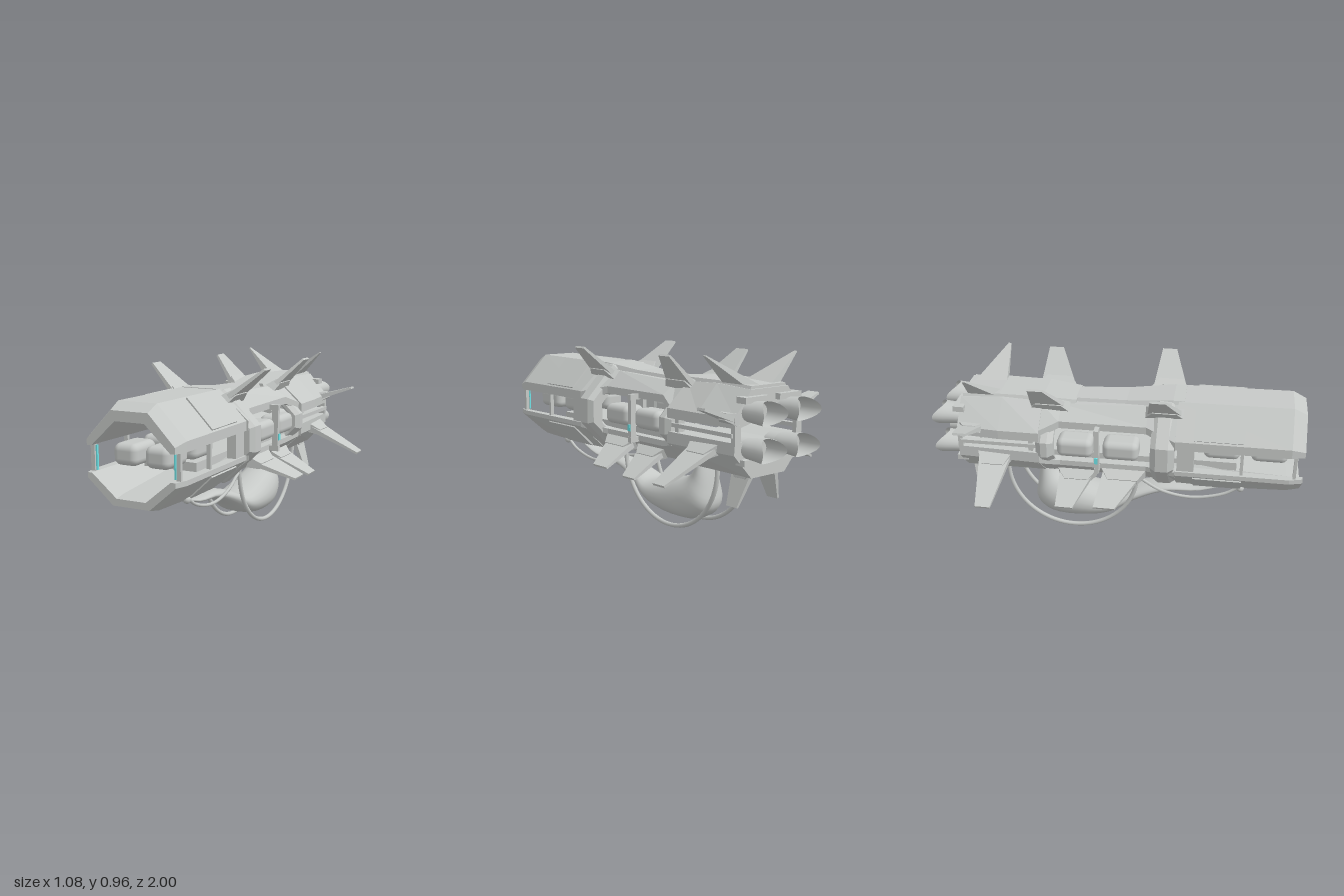
import * as THREE from 'three';
import { RoundedBoxGeometry } from 'three/addons/geometries/RoundedBoxGeometry.js';

const hull = new THREE.MeshStandardMaterial({ color: 0xc6c9c7, side: THREE.DoubleSide });
hull.name = 'light grey hull';
const glow = new THREE.MeshStandardMaterial({ color: 0x6fe3e6 });
glow.name = 'cyan light';

const lerp = THREE.MathUtils.lerp;

// Skin a row of closed rings (front to back, counter-clockwise seen from +z) and cap both ends
function loft(rings, smooth = false) {
  const n = rings[0].length, pos = rings.flat(2), idx = [];
  for (let i = 0; i < rings.length - 1; i++) {
    for (let j = 0; j < n; j++) {
      const k = (j + 1) % n, a = i * n, b = a + n;
      idx.push(a + j, b + j, a + k, b + j, b + k, a + k);
    }
  }
  const tri = THREE.ShapeUtils.triangulateShape(rings[0].map(p => new THREE.Vector2(p[0], p[1])), []);
  const back = (rings.length - 1) * n;
  for (const [a, b, c] of tri) idx.push(a, b, c, back + c, back + b, back + a);
  let g = new THREE.BufferGeometry();
  g.setAttribute('position', new THREE.Float32BufferAttribute(pos, 3));
  g.setIndex(idx);
  if (!smooth) g = g.toNonIndexed();
  g.computeVertexNormals();
  return g;
}

// Half-octagon shell section: edge height, half width, shoulder, ridge half width, ridge, inner width, inner ridge
function arch([z, eb, w, ys, wt, yt, wi, yi]) {
  const right = [[w, eb], [w, ys], [wt, yt]], inner = [[wt * 0.8, yi], [wi, eb]];
  const flip = a => a.map(([x, y]) => [-x, y]).reverse();
  const pts = [...right, ...flip(right), ...flip(inner), ...inner];
  if (yt < eb) pts.reverse();
  return pts.map(([x, y]) => [x, y, z]);
}

// Tapered blade from a root point to a tip point, with its own z span at each end
function fin(side, [bx, by], [tx, ty], [b0, b1], [t0, t1], thickRoot = 0.03, thickTip = 0.012) {
  const g = new THREE.BoxGeometry(1, 1, 1), p = g.attributes.position;
  const d = new THREE.Vector2((tx - bx) * side, ty - by).normalize();
  for (let i = 0; i < p.count; i++) {
    const t = p.getY(i) + 0.5, s = p.getZ(i) + 0.5;
    const h = p.getX(i) * lerp(thickRoot, thickTip, t);
    p.setXYZ(i, side * lerp(bx, tx, t) + d.y * h, lerp(by, ty, t) - d.x * h,
      lerp(lerp(b1, t1, t), lerp(b0, t0, t), s));
  }
  g.computeVertexNormals();
  return g;
}

export function createModel() {
  const model = new THREE.Group();
  model.name = 'spacecraft';
  const add = (name, geo, x = 0, y = 0, z = 0, mat = hull) => {
    const m = new THREE.Mesh(geo, mat);
    m.name = name;
    m.position.set(x, y, z);
    model.add(m);
    return m;
  };
  const box = (name, w, h, d, x, y, z, mat) => add(name, new THREE.BoxGeometry(w, h, d), x, y, z, mat);

  // Upper and lower shells, split by the side slots
  const shells = {
    upperFrontShell: [[1, .64, .24, .67, .1, .815, .215, .765], [.93, .64, .26, .69, .105, .85, .22, .76],
      [.33, .64, .26, .69, .105, .845, .2, .67]],
    upperMidShell: [[.33, .64, .27, .69, .11, .83, .2, .67], [.17, .69, .2, .73, .11, .81, .15, .71],
      [-.3, .69, .2, .73, .11, .79, .15, .71], [-.42, .64, .25, .68, .12, .8, .2, .66]],
    upperRearShell: [[-.4, .63, .26, .68, .12, .805, .2, .65], [-.62, .63, .26, .68, .13, .815, .2, .65],
      [-.85, .63, .24, .68, .13, .805, .2, .65]],
    lowerFrontShell: [[1, .51, .24, .485, .1, .365, .215, .4], [.93, .51, .26, .485, .105, .35, .22, .41],
      [.6, .51, .26, .485, .105, .338, .21, .44], [.33, .51, .26, .485, .105, .345, .2, .48]],
    lowerMidShell: [[.33, .51, .27, .485, .11, .36, .2, .48], [.17, .49, .2, .46, .11, .37, .15, .47],
      [-.3, .49, .2, .46, .11, .38, .15, .47], [-.42, .52, .25, .49, .12, .38, .2, .48]],
    lowerRearShell: [[-.4, .56, .26, .5, .12, .375, .2, .54], [-.85, .56, .24, .5, .12, .375, .2, .54]],
  };
  for (const [name, rows] of Object.entries(shells)) add(name, loft(rows.map(arch)));
  box('deck', 0.3, 0.045, 1.45, 0, 0.502, -0.07);

  // Spine strip and rear roof plate
  const ridge = ([z, w, y]) => [[w + .03, y - .06, z], [w, y, z], [-w, y, z], [-w - .03, y - .06, z]];
  add('spine', loft([[.36, .1, .848], [.3, .1, .848], [.05, .08, .822], [-.24, .065, .81]].map(ridge)));
  add('rearRoofPlate', loft([[-.22, .09, .81], [-.4, .11, .826], [-.64, .115, .828], [-.84, .12, .82]].map(ridge)));

  // Octagonal collars at both ends of the waist
  const octagon = (Type, w, y0, y1, c) => new Type([[w, y0 + c], [w, y1 - c], [w - c, y1], [c - w, y1],
    [-w, y1 - c], [-w, y0 + c], [c - w, y0], [w - c, y0]].map(p => new THREE.Vector2(...p)));
  const collar = (name, w, y0, y1, z, depth) => {
    const s = octagon(THREE.Shape, w, y0, y1, 0.17);
    s.holes.push(octagon(THREE.Path, 0.215, 0.46, 0.69, 0.06));
    add(name, new THREE.ExtrudeGeometry(s, { depth, bevelSize: 0.02, bevelThickness: 0.03, bevelSegments: 1 }), 0, 0, z);
  };
  collar('frontCollar', 0.275, 0.36, 0.82, 0.23, 0.065);
  collar('rearCollar', 0.25, 0.38, 0.79, -0.39, 0.035);

  for (const s of [1, -1]) {
    // Pods in the front bay and in the waist windows
    const pod = new RoundedBoxGeometry(0.135, 0.108, 0.195, 3, 0.035);
    for (const z of [0.825, 0.573]) add('frontPod', pod, s * 0.088, 0.59, z);
    for (const z of [0.037, -0.212]) add('sidePod', pod, s * 0.183, 0.59, z);

    // Slot posts and lights
    for (const z of [0.955, 0.68]) box('slotPost', 0.022, 0.16, 0.016, s * 0.235, 0.575, z);
    box('slotBlock', 0.05, 0.16, 0.09, s * 0.225, 0.575, 0.385);
    box('windowPost', 0.035, 0.25, 0.025, s * 0.235, 0.585, -0.09);
    for (const y of [0.47, 0.7]) box('windowPostFoot', 0.1, 0.03, 0.025, s * 0.205, y, -0.09);
    box('slotLight', 0.008, 0.12, 0.012, s * 0.215, 0.575, 0.955, glow);
    box('windowLight', 0.008, 0.035, 0.018, s * 0.255, 0.535, -0.09, glow);
    box('rearSlotRail', 0.03, 0.02, 0.42, s * 0.235, 0.595, -0.63);
    for (const z of [-0.45, -0.84]) box('rearSlotPost', 0.04, 0.1, 0.025, s * 0.22, 0.595, z);

    // Raised panels on the front shell slopes
    const upper = box('upperPanel', 0.2, 0.014, 0.26, s * 0.183, 0.77, 0.555);
    upper.rotation.z = -s * 0.8;
    const lower = box('lowerPanel', 0.18, 0.014, 0.26, s * 0.183, 0.412, 0.555);
    lower.rotation.z = s * 0.755;

    // Fins, each with a thicker root mount
    const fins = [
      ['upperFrontFin', [.14, .79], [.335, .95], [.36, .17], [.28, .2]],
      ['upperRearFin', [.12, .78], [.28, .945], [-.26, -.46], [-.36, -.44]],
      ['lowerFrontFin', [.19, .435], [.405, .335], [.16, -.06], [.03, -.085]],
      ['lowerMidFin', [.19, .42], [.39, .31], [-.11, -.3], [-.2, -.295]],
      ['lowerRearFin', [.22, .52], [.535, .37], [-.56, -.74], [-.61, -.69]],
      ['tailSideFin', [.22, .67], [.425, .737], s < 0 ? [-.71, -.84] : [-.75, -.85], s < 0 ? [-.74, -.81] : [-.79, -.84]],
      ['keelFin', [.08, .4], [.15, .22], [-.7, -.83], [-.72, -.79]],
    ];
    for (const [name, b, t, bz, tz] of fins) {
      add(name, fin(s, b, t, bz, tz));
      const mid = [lerp(b[0], t[0], .25), lerp(b[1], t[1], .25)];
      add(name + 'Mount', fin(s, b, mid, [bz[0] + .01, bz[1] - .01], [bz[0] - .03, bz[1] + .03], 0.06, 0.035));
    }
    // Swept tail horn on the roof
    const tipZ = s < 0 ? -0.78 : -0.67;
    add('tailHorn', fin(s, [.06, .8], [.265, .96], [-.64, -.82], [tipZ + .008, tipZ - .008], 0.05, 0.006));

    // Rear nozzles with a notched rim
    for (const y of [0.7, 0.522]) {
      const g = new THREE.CylinderGeometry(0.07, 0.085, 0.17, 24, 3, true).rotateX(Math.PI / 2);
      const p = g.attributes.position;
      for (let i = 0; i < p.count; i++) {
        const back = THREE.MathUtils.clamp(0.5 - p.getZ(i) / 0.17, 0, 1);
        const notch = 0.06 * Math.pow(Math.cos(Math.atan2(p.getY(i), p.getX(i))), 2);
        p.setZ(i, p.getZ(i) + back * (0.06 - notch));
      }
      g.scale(1, 0.7, 1);
      g.computeVertexNormals();
      add('nozzle', g, s * 0.123, y, -0.915);
      const core = new THREE.CylinderGeometry(0.065, 0.072, 0.12, 16).rotateX(Math.PI / 2).scale(1, 0.7, 1);
      add('nozzleCore', core, s * 0.123, y, -0.82);
      box('nozzleMount', 0.16, 0.03, 0.06, s * 0.12, y + (y > 0.6 ? 0.06 : -0.06), -0.85);
    }

    // Belly hoop and forward hose
    const hoop = new THREE.TorusGeometry(0.365, 0.012, 8, 40, Math.PI).rotateZ(Math.PI).rotateY(Math.PI / 2);
    add('bellyHoop', hoop, s * 0.112, 0.377, -0.25);
    const path = [[.69, .36], [.6, .3], [.42, .26], [.25, .29], [.13, .36]].map(([z, y]) => new THREE.Vector3(s * .112, y, z));
    add('bellyHose', new THREE.TubeGeometry(new THREE.CatmullRomCurve3(path), 24, 0.009, 8));
    add('hoseJoint', new THREE.SphereGeometry(0.022, 12, 8), s * 0.112, 0.345, 0.685);
  }

  // Belly tank: [top z, top y, bottom z, bottom y, half width]
  const belly = [
    [.68, .36, .68, .34, .05], [.46, .292, .48, .268, .065], [.25, .285, .25, .235, .07],
    [.1, .25, .07, .155, .09], [0, .212, -.05, .085, .12], [-.1, .222, -.2, .05, .132],
    [-.22, .255, -.4, .06, .13], [-.33, .29, -.478, .13, .112], [-.37, .33, -.472, .24, .085], [-.4, .41, -.44, .41, .06],
  ];
  const curves = [0, 1].map(e => new THREE.CatmullRomCurve3(belly.map(r => new THREE.Vector3(r[4], r[e * 2 + 1], r[e * 2]))));
  const rings = [];
  for (let i = 0; i <= 36; i++) {
    const a = curves[0].getPoint(i / 36), b = curves[1].getPoint(i / 36), ring = [];
    for (let j = 0; j < 20; j++) {
      const t = j / 20 * Math.PI * 2, c = Math.cos(t), k = (1 + Math.sin(t)) / 2;
      ring.push([a.x * Math.sign(c) * Math.pow(Math.abs(c), 0.8), lerp(b.y, a.y, k), lerp(b.z, a.z, k)]);
    }
    rings.push(ring);
  }
  add('bellyTank', loft(rings, true));
  return model;
}
